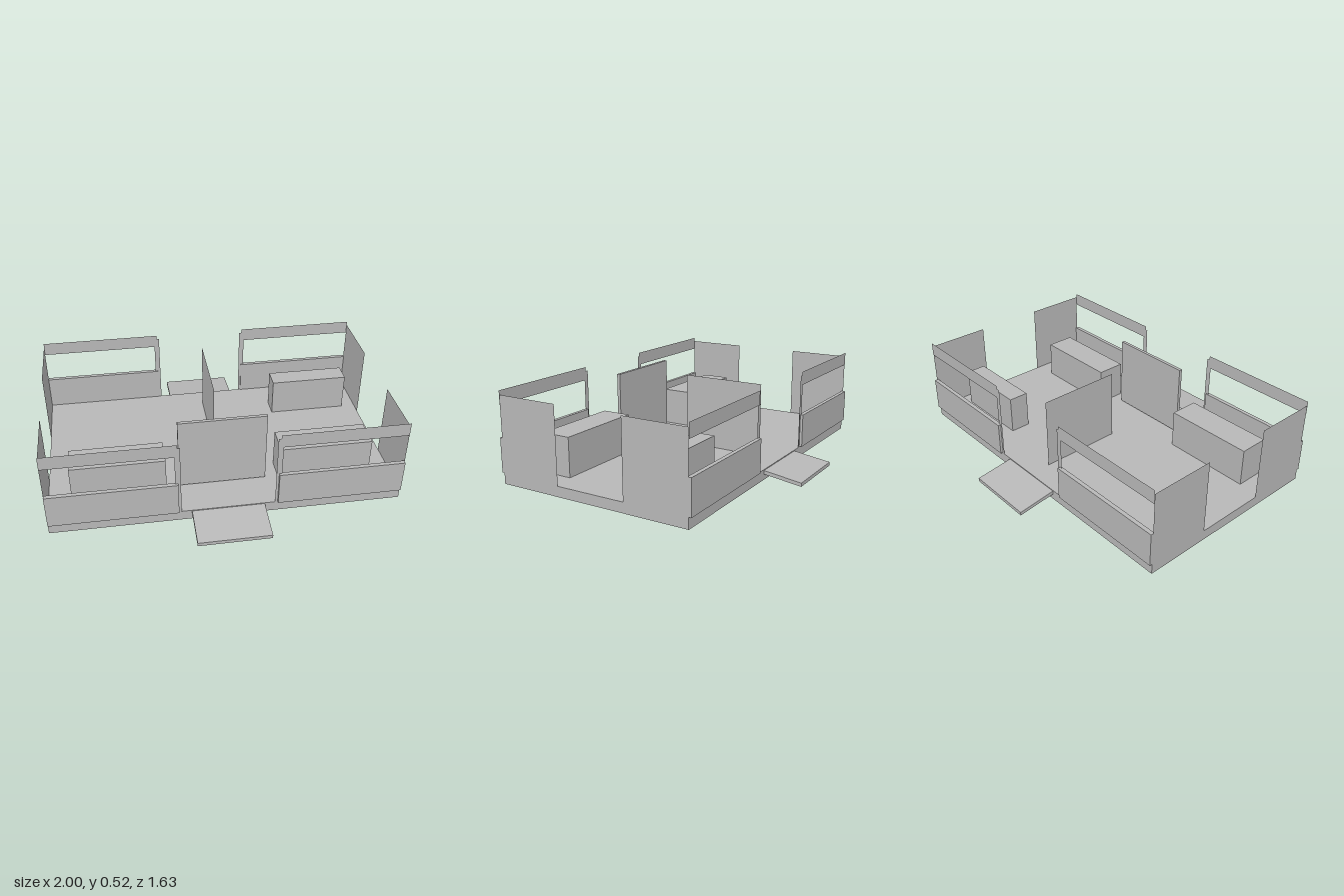
import * as THREE from 'three';

const grey = new THREE.MeshStandardMaterial({ color: 0xb8b8b8 });
grey.name = 'grey';
grey.side = THREE.DoubleSide;

export function createModel() {
  const model = new THREE.Group();
  model.name = 'openCabin';

  const add = (name, geometry) => {
    const mesh = new THREE.Mesh(geometry, grey);
    mesh.name = name;
    model.add(mesh);
    return mesh;
  };

  // Solid block given by its extents
  const block = (name, x0, x1, y0, y1, z0, z1) =>
    add(name, new THREE.BoxGeometry(x1 - x0, y1 - y0, z1 - z0))
      .position.set((x0 + x1) / 2, (y0 + y1) / 2, (z0 + z1) / 2);

  // Thin sheet facing z
  const sheetZ = (name, x0, x1, y0, y1, z) =>
    add(name, new THREE.PlaneGeometry(Math.abs(x1 - x0), y1 - y0))
      .position.set((x0 + x1) / 2, (y0 + y1) / 2, z);

  // Thin sheet facing x
  const sheetX = (name, x, y0, y1, z0, z1) => {
    const mesh = add(name, new THREE.PlaneGeometry(Math.abs(z1 - z0), y1 - y0));
    mesh.rotation.y = Math.PI / 2;
    mesh.position.set(x, (y0 + y1) / 2, (z0 + z1) / 2);
  };

  block('floor', -1, 1, 0, 0.06, -0.59, 0.59);

  // Four corners: low wall, top rail, door post and end panel
  for (const sz of [1, -1]) {
    const end = sz > 0 ? 'front' : 'back';
    for (const sx of [1, -1]) {
      const corner = end + (sx > 0 ? 'Left' : 'Right');
      const mid = sx * 0.64;
      block(corner + 'LowWall', mid - 0.36, mid + 0.36, 0.063, 0.262, sz * 0.593 - 0.012, sz * 0.593 + 0.012);
      sheetZ(corner + 'TopRail', sx * 0.28, sx, 0.445, 0.525, sz * 0.592);
      sheetZ(corner + 'DoorPost', sx * 0.265, sx * 0.296, 0.06, 0.502, sz * 0.589);
      sheetX(corner + 'EndPanel', sx, 0.06, 0.502, sz * 0.21, sz * 0.59);
    }

    // Sloping ramp at the door opening
    const profile = new THREE.Shape([
      new THREE.Vector2(0.588, 0.034), new THREE.Vector2(0.815, 0.003),
      new THREE.Vector2(0.815, 0.024), new THREE.Vector2(0.588, 0.055),
    ]);
    const ramp = add(end + 'Ramp', new THREE.ExtrudeGeometry(profile, { depth: 0.414, bevelEnabled: false }));
    ramp.rotation.y = -sz * Math.PI / 2;
    ramp.position.x = sz * 0.207;
  }

  // Bench seats
  block('frontLeftSeat', 0.33, 0.868, 0.06, 0.287, 0.24, 0.415);
  block('frontRightSeat', -0.868, -0.33, 0.06, 0.287, 0.24, 0.415);
  block('backLeftSeat', 0.438, 0.915, 0.06, 0.287, -0.405, -0.283);

  // Standing screen behind the front door, and the middle partition
  block('doorScreen', -0.255, 0.253, 0.067, 0.502, 0.353, 0.373);
  sheetX('partition', 0, 0.06, 0.488, -0.46, 0.04);

  return model;
}
